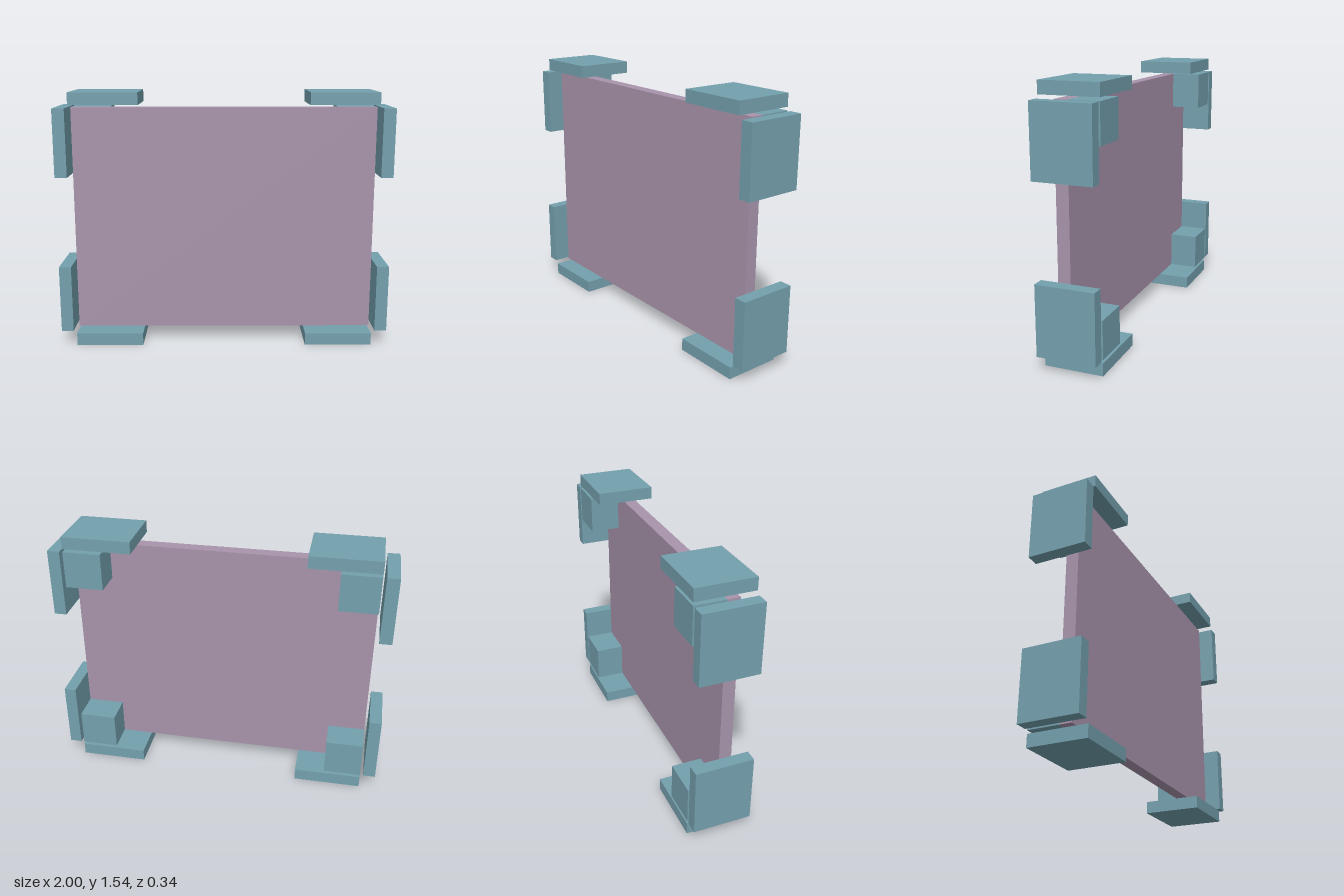
import * as THREE from 'three';

const H = 1.545; // overall height

export function createModel() {
  const model = new THREE.Group();
  model.name = 'panelWithCornerPads';
  const padMat = new THREE.MeshStandardMaterial({ color: 0x74a0ae });
  const panelMat = new THREE.MeshStandardMaterial({ color: 0xa894ab });

  // Box given by its minimum and maximum corners
  function box(parent, name, material, min, max) {
    const size = max.map((v, i) => v - min[i]);
    const mesh = new THREE.Mesh(new THREE.BoxGeometry(...size), material);
    mesh.position.set(...max.map((v, i) => (v + min[i]) / 2));
    mesh.name = name;
    parent.add(mesh);
  }

  // Flat main panel, set forward of the pads' centre
  box(model, 'panel', panelMat, [-0.907, 0.092, 0.008], [0.907, H - 0.092, 0.081]);

  // Three pads around each corner, mirrored left/right and bottom/top
  for (const sx of [-1, 1]) {
    for (const sy of [-1, 1]) {
      const corner = new THREE.Group();
      corner.name = (sy < 0 ? 'bottom' : 'top') + (sx < 0 ? 'Right' : 'Left') + 'Corner';
      model.add(corner);
      const pad = (name, x0, x1, y0, y1, z0, z1) => {
        const xs = [sx * x0, sx * x1].sort((a, b) => a - b);
        const ys = sy < 0 ? [y0, y1] : [H - y1, H - y0];
        box(corner, name, padMat, [xs[0], ys[0], z0], [xs[1], ys[1], z1]);
      };
      pad('edgePad', 0.5, 0.907, 0, 0.073, -0.172, 0.172);
      pad('sidePad', 0.927, 1, 0.092, 0.499, -0.172, 0.172);
      pad('backBlock', 0.682, 0.907, 0.092, 0.315, -0.172, 0.008);
    }
  }
  return model;
}
